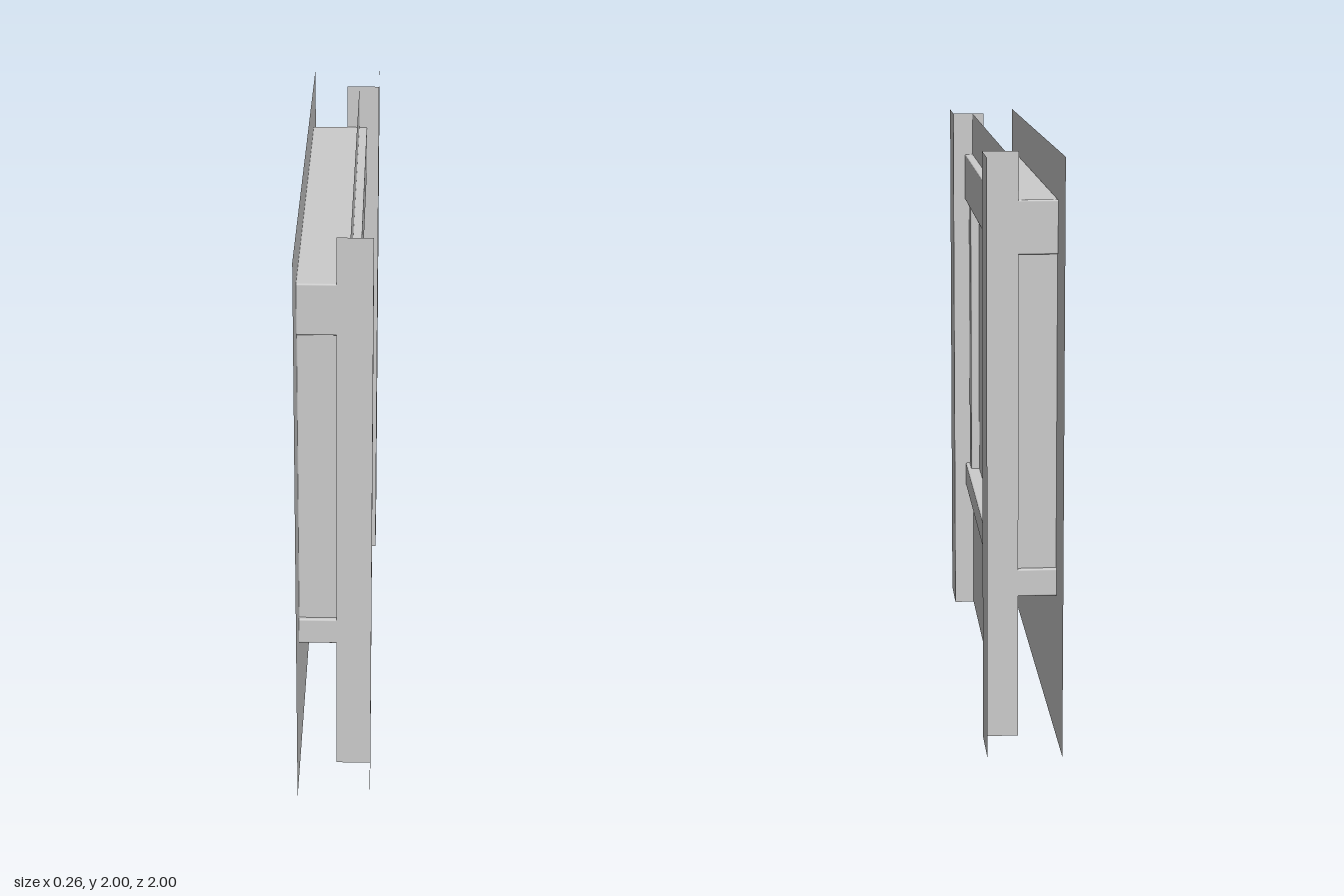
import * as THREE from 'three';
import { RoundedBoxGeometry } from 'three/addons/geometries/RoundedBoxGeometry.js';

export function createModel() {
  const group = new THREE.Group();
  const material = new THREE.MeshStandardMaterial({ color: 0xcccccc, side: THREE.DoubleSide });

  const add = (name, geometry) => {
    const mesh = new THREE.Mesh(geometry, material);
    mesh.name = name;
    group.add(mesh);
    return mesh;
  };

  // Thin upright sheet facing the x axis, with a window opening
  const sheet = (name, x, halfWidth) => {
    const shape = new THREE.Shape([
      new THREE.Vector2(-halfWidth, 0), new THREE.Vector2(halfWidth, 0),
      new THREE.Vector2(halfWidth, 2), new THREE.Vector2(-halfWidth, 2),
    ]);
    shape.holes.push(new THREE.Path([
      new THREE.Vector2(-0.72, 0.54), new THREE.Vector2(-0.72, 1.74),
      new THREE.Vector2(0.72, 1.74), new THREE.Vector2(0.72, 0.54),
    ]));
    const geometry = new THREE.ShapeGeometry(shape);
    geometry.rotateY(Math.PI / 2);
    geometry.translate(x, 0, 0);
    add(name, geometry);
  };
  sheet('innerWall', 0.055, 0.785);
  sheet('outerWall', -0.12, 1);

  // Box with softened edges, given by its extents
  const trim = (name, x0, x1, y0, y1, z0, z1) => {
    const geometry = new RoundedBoxGeometry(x1 - x0, y1 - y0, z1 - z0, 2, 0.006);
    geometry.translate((x0 + x1) / 2, (y0 + y1) / 2, (z0 + z1) / 2);
    add(name, geometry);
  };
  trim('windowHead', -0.122, 0.085, 1.66, 1.84, -0.785, 0.785);
  trim('windowSill', -0.131, 0.085, 0.495, 0.59, -0.785, 0.785);

  // Window pane, recessed on both faces
  const pane = add('windowPane', new THREE.BoxGeometry(0.14, 1.1, 1.4));
  pane.position.set(-0.032, 1.125, 0);

  for (const side of [1, -1]) {
    const label = side > 0 ? 'front' : 'back';
    trim(label + 'Jamb', -0.122, 0.07, 0.585, 1.665,
      side > 0 ? 0.675 : -0.77, side > 0 ? 0.77 : -0.675);

    // Pilaster: broad face and the return that meets the wall
    const face = new THREE.PlaneGeometry(0.215, 2);
    face.rotateY(Math.PI / 2);
    face.translate(0.13, 1, side * 0.8925);
    add(label + 'PilasterFace', face);
    const back = new THREE.PlaneGeometry(0.12, 2);
    back.translate(0.07, 1, side * 0.785);
    add(label + 'PilasterReturn', back);
  }
  return group;
}
